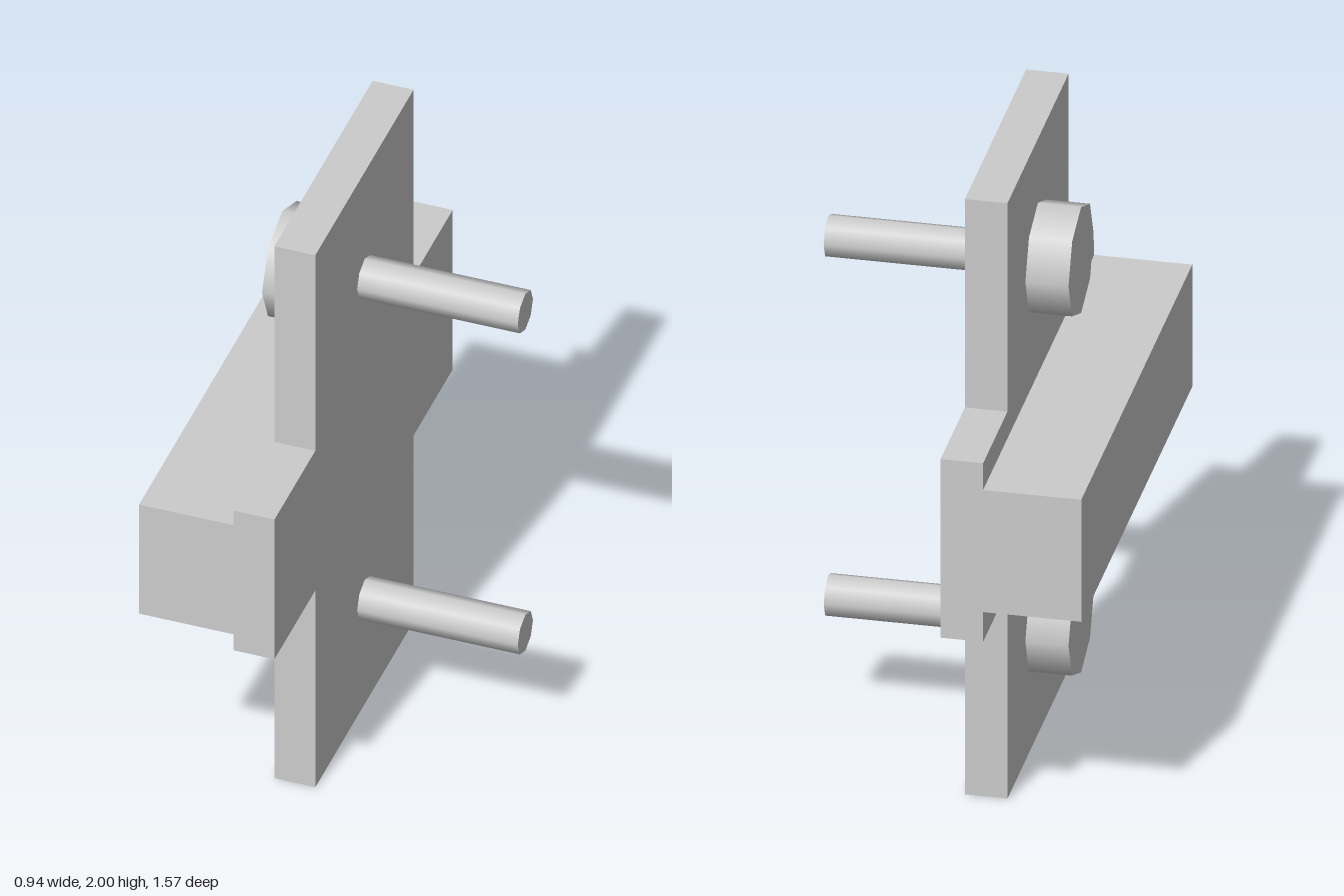
import * as THREE from 'three';

export function createModel() {
  const group = new THREE.Group();
  const material = new THREE.MeshStandardMaterial({ color: 0xcccccc });
  const add = (name, geometry, x, y, z) => {
    const mesh = new THREE.Mesh(geometry, material);
    mesh.name = name;
    mesh.position.set(x, y, z);
    group.add(mesh);
  };

  // Cross-shaped plate: outline in (z, y), extruded along -x
  const outline = [
    [-0.44, 0], [0.425, 0], [0.425, 0.74], [0.785, 0.74], [0.785, 1.265], [0.425, 1.265],
    [0.425, 2], [-0.44, 2], [-0.44, 1.3], [-0.785, 1.3], [-0.785, 0.7], [-0.44, 0.7],
  ];
  const plate = new THREE.ExtrudeGeometry(
    new THREE.Shape(outline.map(([z, y]) => new THREE.Vector2(z, y))),
    { depth: 0.13, bevelEnabled: false },
  );
  plate.rotateY(-Math.PI / 2);
  add('crossPlate', plate, -0.04, 0, 0);

  // Bar across the outer side of the plate
  add('crossBar', new THREE.BoxGeometry(0.3, 0.41, 1.57), -0.32, 1.005, 0);

  // Octagonal rod along x
  const rod = (radius, length) => new THREE.CylinderGeometry(radius, radius, length, 8).rotateZ(Math.PI / 2);

  // Two bolts: head on one side of the plate, shank on the other
  for (const [label, y] of [['lower', 0.4], ['upper', 1.607]]) {
    add(label + 'BoltHead', rod(0.178, 0.132), -0.236, y, -0.01);
    add(label + 'BoltShank', rod(0.067, 0.51), 0.215, y, -0.01);
  }
  return group;
}
